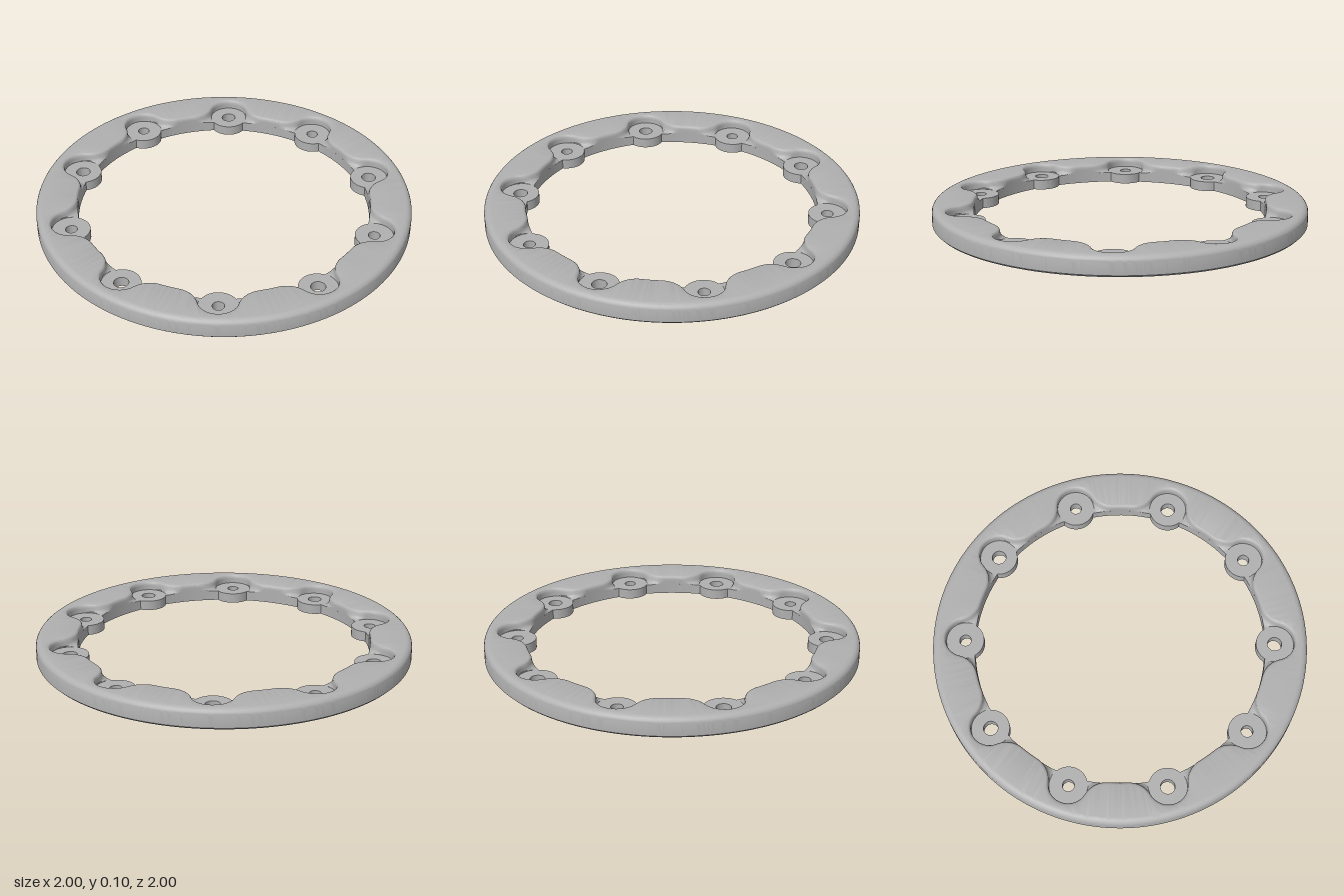
import * as THREE from 'three';
import { toCreasedNormals } from 'three/addons/utils/BufferGeometryUtils.js';

const COUNT = 10;          // bosses around the ring
const STEP = (Math.PI * 2) / COUNT;
const BOSS_R = 0.1;        // boss radius
const PITCH = 0.83;        // radius of the bolt circle
const INNER = 0.78;        // inner radius of the ring
const FLOOR = 0.055;       // height of the boss tops
const TOP = 0.105;

const dir = (a, r, cx = 0, cy = 0) => [cx + r * Math.cos(a), cy + r * Math.sin(a)];

// Inner outline: a pocket arc, a rounded shoulder and a plain arc, mirrored and repeated.
function scallopedOutline(pocket, inner, fillet, n = 8) {
  const R = inner + fillet, d = pocket + fillet;
  const phi = Math.acos((R * R + PITCH * PITCH - d * d) / (2 * R * PITCH));
  const [fx, fy] = dir(phi, R);
  const psi = Math.atan2(fy, fx - PITCH);
  const half = [];
  for (let i = 0; i < n; i++) half.push(dir((psi * i) / n, pocket, PITCH));
  for (let i = 0; i < n; i++) half.push(dir(Math.PI + psi + ((phi - psi) * i) / n, fillet, fx, fy));
  for (let i = 0; i <= n; i++) half.push(dir(phi + ((STEP / 2 - phi) * i) / n, inner));
  const mirrored = half.slice(1, -1).reverse().map(([x, y]) => [x, -y]);
  const sector = [...mirrored, ...half];
  const out = [];
  for (let k = 0; k < COUNT; k++) {
    const t = Math.PI / 2 + k * STEP, c = Math.cos(t), s = Math.sin(t);
    for (const [x, y] of sector) out.push([x * c - y * s, x * s + y * c]);
  }
  return out;
}

// Skin between successive closed loops of [x, z] points at given heights.
function loft(levels) {
  const n = levels[0].points.length, pos = [], index = [];
  for (const { points, y } of levels) for (const [x, z] of points) pos.push(x, y, z);
  for (let i = 0; i < levels.length - 1; i++) {
    for (let j = 0; j < n; j++) {
      const k = (j + 1) % n;
      const a = i * n + j, b = i * n + k, c = a + n, d = b + n;
      index.push(a, b, c, b, d, c);
    }
  }
  const g = new THREE.BufferGeometry();
  g.setAttribute('position', new THREE.Float32BufferAttribute(pos, 3));
  g.setIndex(index);
  return toCreasedNormals(g, 0.6);
}

// Upper rim: flared pocket walls, rounded edges and the outer wall.
function rimGeometry() {
  const levels = [];
  const p = 0.102, f = 0.13, edge = 0.018, round = 0.035;
  for (let i = 0; i <= 4; i++) {
    const s = i / 4;
    levels.push({ y: FLOOR + 0.025 * s, points: scallopedOutline(p, INNER, 0.03 + (f - 0.03) * Math.sqrt(s)) });
  }
  for (let i = 1; i <= 5; i++) {
    const a = (i / 5) * Math.PI / 2, e = edge * (1 - Math.cos(a));
    levels.push({ y: TOP - edge + edge * Math.sin(a), points: scallopedOutline(p + e, INNER + e, f - e) });
  }
  const angles = levels[levels.length - 1].points.map(([x, z]) => Math.atan2(z, x));
  const circle = (r, y) => levels.push({ y, points: angles.map((a) => dir(a, r)) });
  for (let i = 0; i <= 6; i++) {
    const a = (i / 6) * Math.PI / 2;
    circle(1 - round + round * Math.sin(a), TOP - round + round * Math.cos(a));
  }
  circle(1, 0.01);
  circle(0.99, 0);
  return loft(levels);
}

// Base plate: ring with boss lobes along its inner edge and drilled holes.
function baseGeometry() {
  const shape = new THREE.Shape();
  shape.absarc(0, 0, 0.99, 0, Math.PI * 2, false);
  const meet = Math.acos((INNER ** 2 + PITCH ** 2 - BOSS_R ** 2) / (2 * INNER * PITCH));
  const [mx, my] = dir(meet, INNER);
  const lobe = Math.atan2(my, mx - PITCH);
  const pts = [];
  for (let k = 0; k < COUNT; k++) {
    const t = Math.PI / 2 + k * STEP;
    const [cx, cy] = dir(t, PITCH);
    for (let i = 0; i <= 20; i++) {
      const a = -lobe - ((2 * Math.PI - 2 * lobe) * i) / 20;
      pts.push(new THREE.Vector2(...dir(t + a, BOSS_R, cx, cy)));
    }
    for (let i = 1; i < 12; i++) {
      pts.push(new THREE.Vector2(...dir(t + meet + ((STEP - 2 * meet) * i) / 12, INNER)));
    }
    // bolt holes alternate between two sizes
    const hole = new THREE.Path();
    hole.absarc(cx, cy, k % 2 ? 0.031 : 0.038, 0, Math.PI * 2, true);
    shape.holes.push(hole);
  }
  shape.holes.unshift(new THREE.Path(pts));
  const g = new THREE.ExtrudeGeometry(shape, { depth: FLOOR, bevelEnabled: false, curveSegments: 32 });
  g.rotateX(-Math.PI / 2);
  return toCreasedNormals(g, 0.6);
}

export function createModel() {
  const grey = new THREE.MeshStandardMaterial({ color: 0xb0b0b0 });
  grey.name = 'light grey';
  const group = new THREE.Group();
  group.name = 'boltRing';
  const add = (name, geometry) => {
    const mesh = new THREE.Mesh(geometry, grey);
    mesh.name = name;
    group.add(mesh);
  };
  add('basePlateWithBosses', baseGeometry());
  add('scallopedRim', rimGeometry());
  return group;
}
